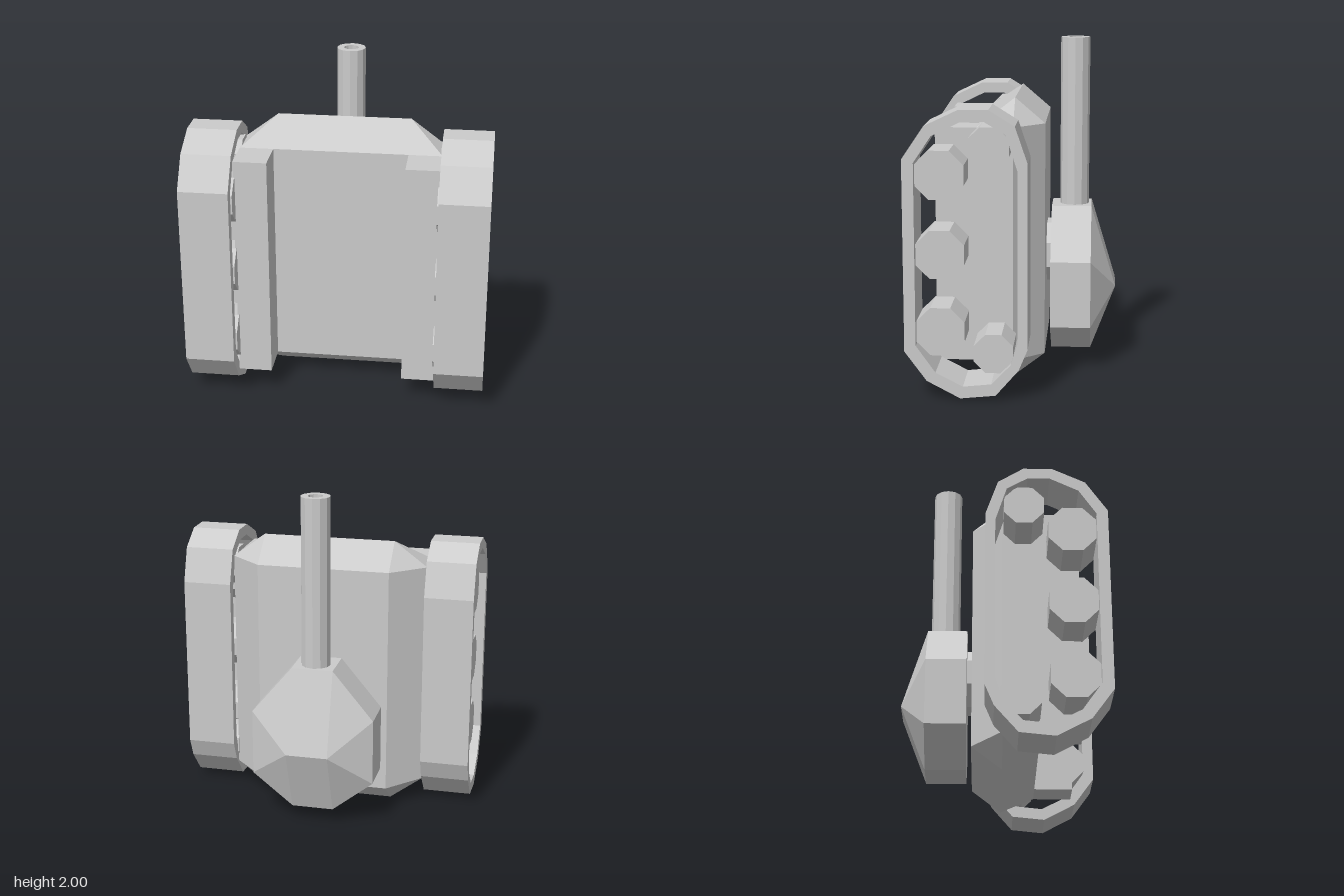
import * as THREE from 'three';
import { ConvexGeometry } from 'three/addons/geometries/ConvexGeometry.js';

const material = new THREE.MeshStandardMaterial({ color: 0xcccccc, flatShading: true });

function part(name, geometry, parent) {
  const mesh = new THREE.Mesh(geometry, material);
  mesh.name = name;
  parent.add(mesh);
  return mesh;
}

// Convex solid from points [x, y, z], mirrored in x
function mirroredSolid(points) {
  return new ConvexGeometry(points.flatMap(([x, y, z]) =>
    [new THREE.Vector3(x, y, z), new THREE.Vector3(-x, y, z)]));
}

// Track outlines as [z, y]
const trackOuter = [[0.595, 1.385], [0.47, 1.57], [0.28, 1.66], [0.115, 1.66], [-0.03, 1.57], [-0.1, 1.365],
  [-0.1, 0.31], [-0.05, 0.19], [0.08, 0.04], [0.28, 0.02], [0.47, 0.12], [0.595, 0.29]];
const trackInner = [[0.53, 1.365], [0.43, 1.515], [0.265, 1.595], [0.14, 1.595], [0.02, 1.525], [-0.045, 1.32],
  [-0.045, 0.35], [-0.005, 0.22], [0.105, 0.107], [0.265, 0.09], [0.42, 0.17], [0.53, 0.325]];

// Wheels as [z, y, distance across flats / 2]
const wheels = [[0.395, 1.29, 0.138], [0.395, 0.84, 0.138], [0.395, 0.395, 0.138],
  [0.12, 1.445, 0.115], [0.095, 0.27, 0.112]];

function octagonCylinder(apothem, length) {
  const r = apothem / Math.cos(Math.PI / 8);
  return new THREE.CylinderGeometry(r, r, length, 8).rotateY(Math.PI / 8);
}

export function createModel() {
  const model = new THREE.Group();
  model.name = 'tank';

  // Hull with sloping deck edges and wedge-shaped ends
  part('hull', mirroredSolid([
    [0.4, 1.525, -0.175], [0.4, 0.14, -0.175],
    [0.4, 1.675, 0], [0.4, 0.005, 0],
    [0.6, 1.525, 0], [0.6, 0.155, 0],
    [0.6, 1.525, 0.21], [0.6, 0.155, 0.21],
    [0.4, 1.525, 0.21], [0.4, 0.155, 0.21],
  ]), model);

  // Running gear on both sides
  for (const side of [1, -1]) {
    const gear = new THREE.Group();
    gear.name = side > 0 ? 'leftRunningGear' : 'rightRunningGear';
    model.add(gear);

    part('sidePlate', new THREE.BoxGeometry(0.2, 1.37, 0.24), gear)
      .position.set(side * 0.5, 0.84, 0.325);

    const outline = new THREE.Shape(trackOuter.map(p => new THREE.Vector2(...p)));
    outline.holes.push(new THREE.Path(trackInner.map(p => new THREE.Vector2(...p))));
    const track = new THREE.ExtrudeGeometry(outline, { depth: 0.295, bevelEnabled: false });
    track.rotateY(-Math.PI / 2);
    part('track', track, gear).position.x = side > 0 ? 0.895 : -0.6;

    for (const [z, y, size] of wheels) {
      part('wheel', octagonCylinder(size, 0.26).rotateZ(Math.PI / 2), gear)
        .position.set(side * 0.72, y, z);
    }
  }

  // Turret ring
  part('turretRing', octagonCylinder(0.18, 0.06).rotateX(Math.PI / 2), model)
    .position.set(0, 0.69, -0.19);

  // Faceted turret: eight-sided walls closing to a short ridge
  const walls = [[0.125, 0.985], [0.37, 0.69], [0.37, 0.29], [0.125, 0.095]];
  part('turret', mirroredSolid([
    ...walls.map(([x, y]) => [x, y, -0.205]),
    ...walls.map(([x, y]) => [x, y, -0.445]),
    [0.125, 0.49, -0.595],
  ]), model);

  // Hollow gun barrel
  const barrel = [[0, 1.5], [0.045, 1.5], [0.045, 2], [0.088, 2], [0.088, 0.95]]
    .reverse().map(p => new THREE.Vector2(...p));
  part('barrel', new THREE.LatheGeometry(barrel, 12), model).position.z = -0.34;

  return model;
}
